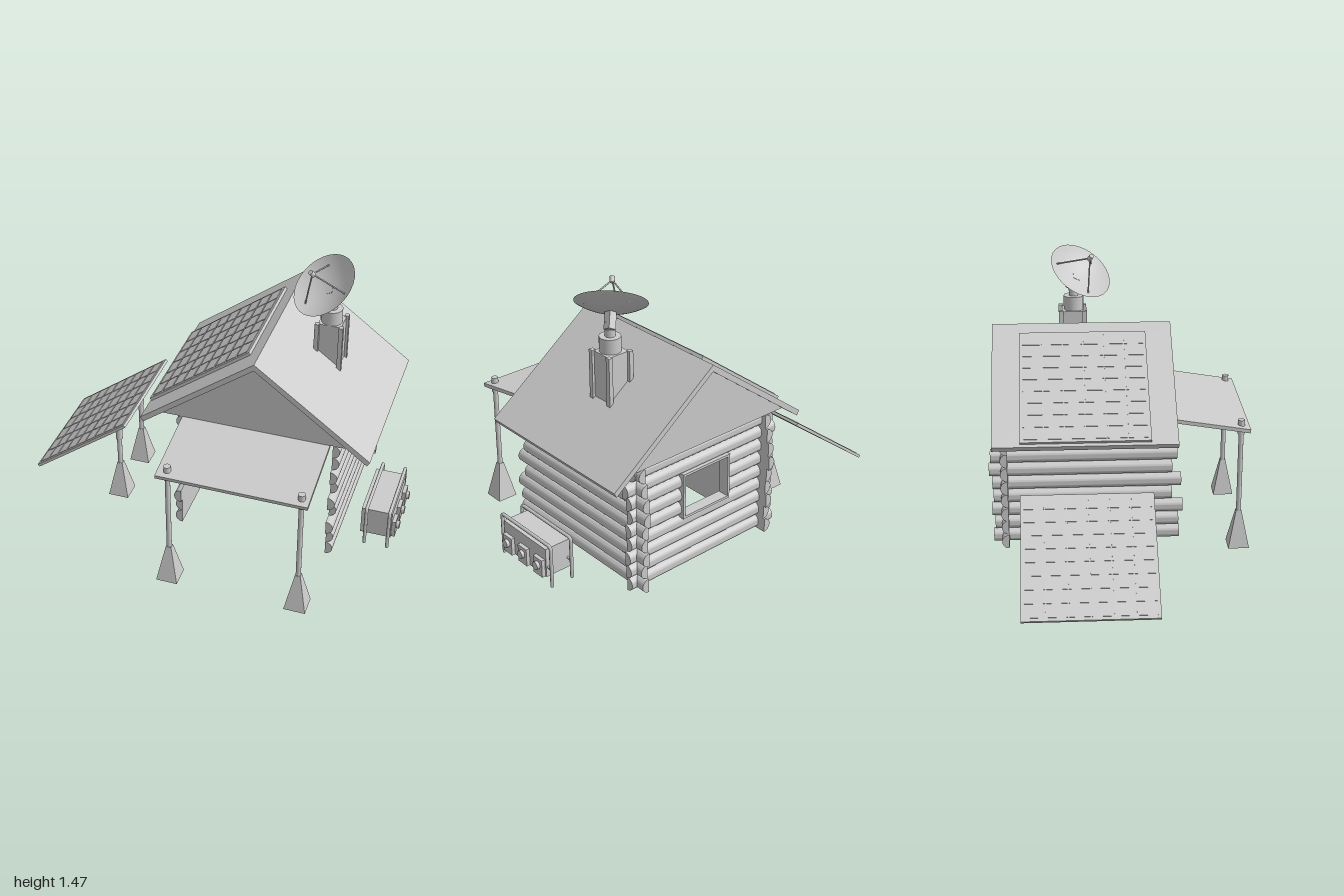
import * as THREE from 'three';
import { toCreasedNormals } from 'three/addons/utils/BufferGeometryUtils.js';

const mat = new THREE.MeshStandardMaterial({ color: 0xcccccc });
const flat = new THREE.MeshStandardMaterial({ color: 0xcccccc, flatShading: true });
const thin = new THREE.MeshStandardMaterial({ color: 0xcccccc, side: THREE.DoubleSide });
const V = (x, y, z) => new THREE.Vector3(x, y, z);
const UP = V(0, 1, 0);

function add(parent, name, geo, pos = [0, 0, 0], material = mat) {
  const m = new THREE.Mesh(geo, material);
  m.name = name;
  m.position.set(...pos);
  parent.add(m);
  return m;
}

function group(parent, name) {
  const g = new THREE.Group();
  g.name = name;
  parent.add(g);
  return g;
}

// Box given by its min and max corners
function box(parent, name, a, b) {
  return add(parent, name, new THREE.BoxGeometry(b[0] - a[0], b[1] - a[1], b[2] - a[2]),
    a.map((v, i) => (v + b[i]) / 2));
}

// Upright cylinder from y0 to y1
function post(parent, name, x, z, r, y0, y1) {
  return add(parent, name, new THREE.CylinderGeometry(r, r, y1 - y0, 16), [x, (y0 + y1) / 2, z]);
}

function rod(parent, name, a, b, r) {
  const d = b.clone().sub(a);
  const m = add(parent, name, new THREE.CylinderGeometry(r, r, d.length(), 8), a.clone().add(b).multiplyScalar(0.5).toArray());
  m.quaternion.setFromUnitVectors(UP, d.normalize());
  return m;
}

// Prism of an x-y outline between two z values
function prism(parent, name, pts, z0, z1) {
  const shape = new THREE.Shape(pts.map(p => new THREE.Vector2(...p)));
  return add(parent, name, new THREE.ExtrudeGeometry(shape, { depth: z1 - z0, bevelEnabled: false }), [0, 0, z0]);
}

// Half-round log with a flat inner face; turned about y by rot
const ROW = 0.0735, R = 0.037;
function log(parent, name, length, pos, rot) {
  const s = new THREE.Shape();
  s.absarc(0, 0, R, -Math.PI / 2, Math.PI / 2, false);
  const geo = new THREE.ExtrudeGeometry(s, { depth: length, bevelEnabled: false, curveSegments: 12 });
  add(parent, name, toCreasedNormals(geo, 0.6), pos).rotation.y = rot;
}

// Pyramid foot with a pole and a thicker collar at its top
function footedPost(parent, name, x, z, collarY, topY) {
  const g = group(parent, name);
  const foot = new THREE.CylinderGeometry(0.02, 0.078, 0.2, 4);
  foot.rotateY(Math.PI / 4);
  add(g, 'foot', foot, [x, 0.1, z], flat);
  post(g, 'pole', x, z, 0.013, 0.19, topY - 0.01);
  post(g, 'collar', x, z, 0.018, collarY, topY);
}

// Sloping solar panel with a grid of raised cells
function solarPanel(parent, name, pos) {
  const g = group(parent, name);
  add(g, 'panelBoard', new THREE.BoxGeometry(0.655, 0.016, 0.65));
  const nx = 9, nz = 6, px = 0.63 / nx, pz = 0.625 / nz;
  const cell = new THREE.BoxGeometry(px - 0.007, 0.003, pz - 0.007);
  for (let i = 0; i < nx; i++)
    for (let j = 0; j < nz; j++)
      add(g, 'solarCell', cell, [(i - (nx - 1) / 2) * px, 0.0092, (j - (nz - 1) / 2) * pz]);
  g.position.set(...pos);
  g.rotation.z = Math.atan(0.75);
}

function buildWalls(root) {
  const walls = group(root, 'logWalls');
  const front = [0.3, 0.295, 0.317, 0.26, 0.307, 0.26, 0.285, 0.26, 0.26];
  const back = [-0.66, -0.65, -0.665, -0.655, -0.66, -0.675, -0.667, -0.655, -0.64];
  const left = [-0.2, -0.185, -0.19, -0.18, -0.19, -0.185, -0.18, -0.195, -0.14];
  const right = [0.735, 0.74, 0.745, 0.735, 0.74, 0.73, 0.735, 0.755, 0.71];
  for (let i = 0; i < 9; i++) {
    const y = 0.08 + ROW * (i + 0.5), n = front[i] - back[i];
    log(walls, 'leftSideLog', n, [0.67, y, back[i]], 0);
    log(walls, 'rightSideLog', n, [-0.1, y, front[i]], Math.PI);
    // Back wall leaves three rows open for the window
    const spans = i >= 4 && i <= 6 ? [[left[i], 0.13], [0.415, right[i]]] : [[left[i], right[i]]];
    for (const [a, b] of spans) log(walls, 'backLog', b - a, [a, y, -0.58], Math.PI / 2);
  }
  const frame = group(root, 'windowFrame');
  for (const x of [0.125, 0.412]) box(frame, 'frameSide', [x, 0.365, -0.63], [x + 0.013, 0.61, -0.57]);
  for (const y of [0.365, 0.597]) box(frame, 'frameRail', [0.125, y, -0.63], [0.425, y + 0.013, -0.57]);
}

function buildRoof(root) {
  prism(root, 'roof', [[-0.326, 0.695], [-0.312, 0.67], [0.267, 1.105], [0.846, 0.67], [0.86, 0.695], [0.267, 1.14]], -0.65, 0.275);
  prism(root, 'gable', [[-0.22, 0.74], [0.754, 0.74], [0.267, 1.105]], -0.635, 0.26);
  solarPanel(root, 'roofSolarPanel', [-0.057, 0.909, -0.185]);
}

function buildAwning(root) {
  const g = group(root, 'awning');
  const slab = add(g, 'awningRoof', new THREE.BoxGeometry(0.76, 0.02, 0.42), [0.275, 0.697, 0.455]);
  slab.rotation.x = Math.atan2(0.066, 0.4);
  for (const x of [-0.055, 0.615]) footedPost(g, 'awningPost', x, 0.62, 0.63, 0.71);
}

function buildGroundPanel(root) {
  const g = group(root, 'groundSolarStand');
  solarPanel(g, 'groundSolarPanel', [-0.735, 0.305, -0.185]);
  for (const z of [0.07, -0.25]) footedPost(g, 'panelPost', -0.535, z, 0.36, 0.45);
}

function buildGenerator(root) {
  const g = group(root, 'generator');
  box(g, 'generatorBody', [0.805, 0.085, -0.252], [0.965, 0.242, 0.086]);
  // Three outlet blocks with round sockets
  for (const z of [0.039, -0.084, -0.208]) {
    box(g, 'outletBlock', [0.96, 0.085, z - 0.035], [0.984, 0.18, z + 0.035]);
    const s = add(g, 'outletSocket', new THREE.CylinderGeometry(0.021, 0.021, 0.02, 16), [0.99, 0.142, z]);
    s.rotation.z = Math.PI / 2;
  }
  // Tubular carrying frames
  for (const x of [0.835, 0.955]) {
    const path = new THREE.CurvePath();
    const a = V(x, 0.04, 0.113), b = V(x, 0.25, 0.113), c = V(x, 0.266, 0.097);
    const d = V(x, 0.266, -0.265), e = V(x, 0.25, -0.281), f = V(x, 0.04, -0.281);
    path.add(new THREE.LineCurve3(a, b));
    path.add(new THREE.QuadraticBezierCurve3(b, V(x, 0.266, 0.113), c));
    path.add(new THREE.LineCurve3(c, d));
    path.add(new THREE.QuadraticBezierCurve3(d, V(x, 0.266, -0.281), e));
    path.add(new THREE.LineCurve3(e, f));
    add(g, 'carryFrame', new THREE.TubeGeometry(path, 80, 0.009, 8), [0, 0, 0], thin);
    for (const z of [0.1, -0.267]) rod(g, 'frameLink', V(x, 0.14, z + 0.018), V(x, 0.14, z - 0.018), 0.006);
  }
}

function buildDish(root) {
  const mast = group(root, 'dishMast');
  box(mast, 'mastCore', [0.463, 0.85, -0.285], [0.582, 1.14, -0.17]);
  for (const x of [0.45, 0.573])
    for (const z of [-0.302, -0.177]) box(mast, 'mastCorner', [x, 0.85, z], [x + 0.022, 1.145, z + 0.024]);
  post(mast, 'mastBase', 0.522, -0.222, 0.053, 1.13, 1.215);
  post(mast, 'mastNeck', 0.522, -0.222, 0.025, 1.2, 1.29);

  // Dish is built along +y, then tilted to its axis
  const dish = group(root, 'satelliteDish');
  const bowl = [];
  for (let i = 0; i <= 10; i++) bowl.push(new THREE.Vector2(0.175 * i / 10, 0.05 * (i / 10) ** 2 - 0.05));
  add(dish, 'bowl', new THREE.LatheGeometry(bowl, 32), [0, 0, 0], thin);
  add(dish, 'feed', new THREE.CylinderGeometry(0.013, 0.013, 0.03, 12), [0, 0.108, 0]);
  for (let i = 0; i < 3; i++) {
    const a = 0.5 + i * Math.PI * 2 / 3;
    rod(dish, 'feedStrut', V(0, 0.105, 0), V(0.13 * Math.cos(a), -0.022, 0.13 * Math.sin(a)), 0.004);
  }
  add(dish, 'bracket', new THREE.BoxGeometry(0.04, 0.085, 0.04), [0, -0.09, 0]);
  dish.position.set(0.48, 1.36, -0.183);
  dish.quaternion.setFromUnitVectors(UP, V(-0.46, 0.76, 0.46).normalize());
}

export function createModel() {
  const root = new THREE.Group();
  root.name = 'logCabin';
  buildWalls(root);
  buildRoof(root);
  buildAwning(root);
  buildGroundPanel(root);
  buildGenerator(root);
  buildDish(root);
  return root;
}
